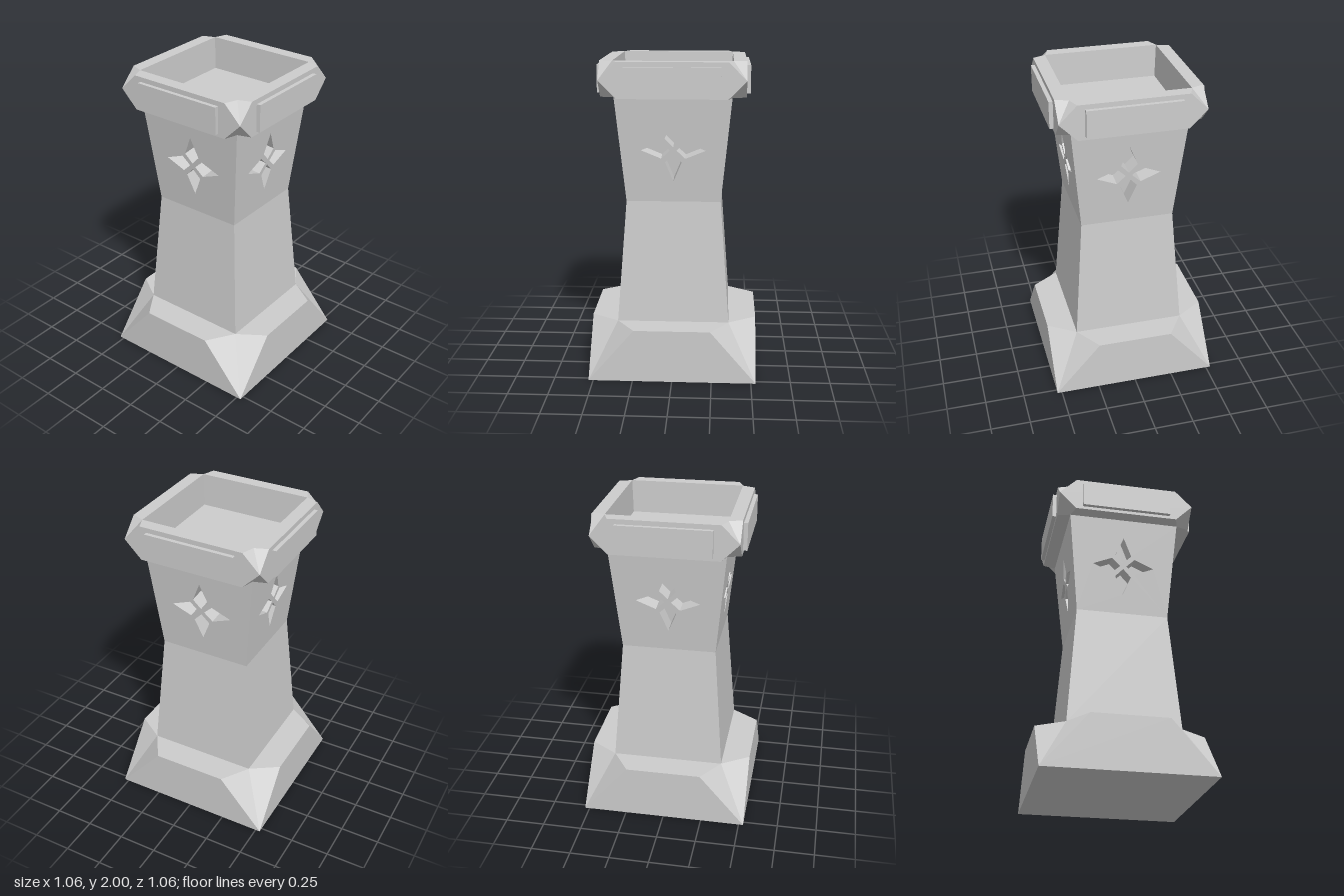
import * as THREE from 'three';

const stone = new THREE.MeshStandardMaterial({ color: 0xcccccc });
stone.name = 'grey stone';

// Flat-faced geometry from convex polygons (counter-clockwise from outside)
function facets(polygons) {
  const pos = [];
  for (const p of polygons) {
    for (let i = 1; i < p.length - 1; i++) pos.push(...p[0], ...p[i], ...p[i + 1]);
  }
  const geo = new THREE.BufferGeometry();
  geo.setAttribute('position', new THREE.Float32BufferAttribute(pos, 3));
  geo.computeVertexNormals();
  return geo;
}

// One quarter of a square block whose corners are cut away from y0 towards y1:
// h = half width, c = where the cut starts on the edge, k = inner corner
function cutCornerSide(h, c, k, y0, y1) {
  const P = [h, y0, h], A = [c, y1, h], B = [h, y1, c], K = [k, y1, k];
  const A2 = [-c, y1, h], K2 = [-k, y1, k];
  const polys = [
    [[-h, y0, h], P, A, A2],
    [P, K, A],
    [P, B, K],
    [A2, A, K, K2],
  ];
  return y1 < y0 ? polys.map((p) => p.reverse()) : polys;
}

// Shaft silhouette
const FOOT_Y = 0.34, WAIST_Y = 1.12, TOP_Y = 1.78;
const FOOT = 0.355, WAIST = 0.296, TOP = 0.36;
const slope = (TOP - WAIST) / (TOP_Y - WAIST_Y);
const faceZ = (y) => WAIST + (y - WAIST_Y) * slope;

// Four kites around a centre, as [x, y] outlines
function kites() {
  const kite = [[0, 0.02], [0.052, 0.075], [0, 0.2], [-0.052, 0.075]];
  return [0, 1, 2, 3].map((i) => {
    const a = (i * Math.PI) / 2, s = Math.sin(a), c = Math.cos(a);
    return kite.map(([x, y]) => [x * c - y * s, 1.45 + x * s + y * c]);
  });
}

// Upper shaft wall with kite-shaped openings, laid onto the sloping face
function upperWall() {
  const pts = (list) => list.map(([x, y]) => new THREE.Vector2(x, y));
  const shape = new THREE.Shape(pts([[-WAIST, WAIST_Y], [WAIST, WAIST_Y], [TOP, TOP_Y], [-TOP, TOP_Y]]));
  for (const k of kites()) shape.holes.push(new THREE.Path(pts(k)));
  const geo = new THREE.ShapeGeometry(shape);
  const p = geo.attributes.position;
  for (let i = 0; i < p.count; i++) p.setZ(i, faceZ(p.getY(i)));
  geo.computeVertexNormals();
  return geo;
}

// Walls and floors of the carved kites, sunk at right angles to the face
function pockets() {
  const depth = 0.1, polys = [];
  for (const k of kites()) {
    const outer = k.map(([x, y]) => [x, y, faceZ(y)]);
    const inner = outer.map(([x, y, z]) => [x, y + depth * slope, z - depth]);
    outer.forEach((a, i) => {
      const j = (i + 1) % 4;
      polys.push([a, outer[j], inner[j], inner[i]]);
    });
    polys.push(inner);
  }
  // each pocket is seen from inside
  return facets(polys);
}

export function createModel() {
  const model = new THREE.Group();
  model.name = 'stonePedestal';
  const add = (parent, name, geo) => {
    const mesh = new THREE.Mesh(geo, stone);
    mesh.name = name;
    parent.add(mesh);
    return mesh;
  };

  const rimTop = 0.365, rimFloor = 0.357, floorY = 1.79;
  const baseGeo = facets(cutCornerSide(0.53, 0.24, FOOT, 0, FOOT_Y));
  const lowerGeo = facets([[
    [-FOOT, FOOT_Y, FOOT], [FOOT, FOOT_Y, FOOT], [WAIST, WAIST_Y, WAIST], [-WAIST, WAIST_Y, WAIST],
  ]]);
  const capGeo = facets([
    ...cutCornerSide(0.445, 0.335, rimTop, 1.89, 2),
    ...cutCornerSide(0.445, 0.335, TOP, 1.89, TOP_Y),
  ]);
  // Inside wall of the basin, facing the middle
  const basinGeo = facets([[
    [-rimTop, 2, rimTop], [rimTop, 2, rimTop], [rimFloor, floorY, rimFloor], [-rimFloor, floorY, rimFloor],
  ]]);
  const wallGeo = upperWall();
  const pocketGeo = pockets();
  const panelGeo = new THREE.BoxGeometry(0.58, 0.17, 0.05).translate(0, 1.885, 0.445);

  // Four identical sides
  ['front', 'left', 'back', 'right'].forEach((name, i) => {
    const side = new THREE.Group();
    side.name = name + 'Side';
    side.rotation.y = (i * Math.PI) / 2;
    add(side, 'base', baseGeo);
    add(side, 'lowerShaft', lowerGeo);
    add(side, 'upperShaft', wallGeo);
    add(side, 'carvedKites', pocketGeo);
    add(side, 'cap', capGeo);
    add(side, 'capPanel', panelGeo);
    add(side, 'basinWall', basinGeo);
    model.add(side);
  });

  // Underside and basin floor
  add(model, 'underside', new THREE.PlaneGeometry(1.06, 1.06).rotateX(Math.PI / 2));
  add(model, 'basinFloor', new THREE.PlaneGeometry(2 * rimFloor, 2 * rimFloor).rotateX(-Math.PI / 2).translate(0, floorY, 0));
  return model;
}
